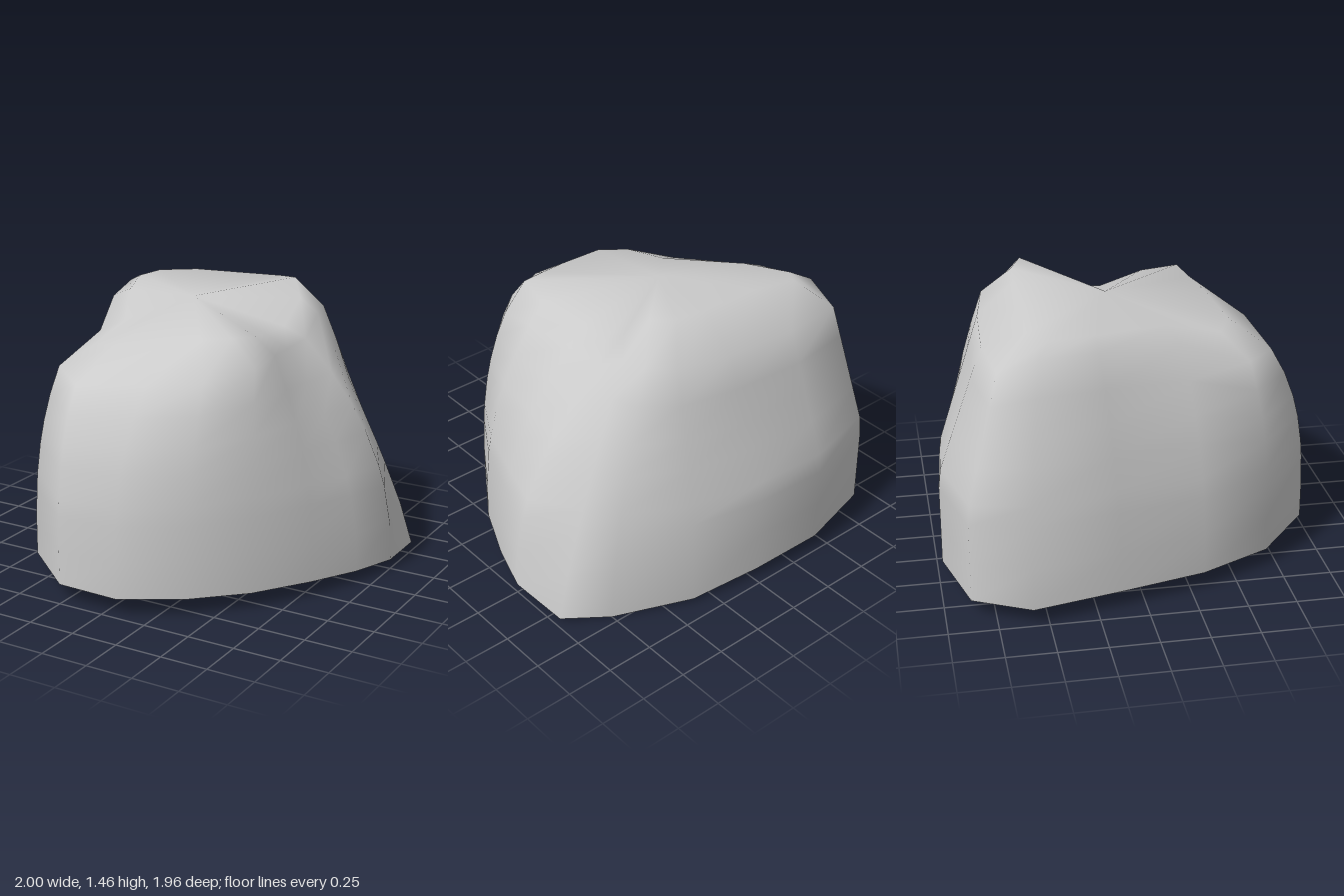
import * as THREE from 'three';

// Each column runs from the ground up: foot, rim of the shoulder, crown.
// Columns go round from the front by way of +x. Points are [x, y, z].
const foot = [
  [-0.27, 0.09, 0.97], [0.07, 0.09, 0.98], [0.38, 0.09, 0.8], [0.61, 0.085, 0.57],
  [0.8, 0.08, 0.28], [0.92, 0.06, 0], [1, 0.05, -0.25], [0.98, 0.03, -0.58],
  [0.75, 0, -0.71], [0.36, 0.02, -0.89], [-0.03, 0.05, -0.95], [-0.42, 0.08, -0.98],
  [-0.84, 0.08, -0.87], [-1, 0.09, -0.58], [-0.9, 0.09, -0.13], [-0.79, 0.09, 0.32],
  [-0.61, 0.09, 0.69],
];
const rim = [
  [-0.28, 1.08, 0.77], [0.1, 1.13, 0.72], [0.35, 1.14, 0.6], [0.53, 1.19, 0.41],
  [0.53, 1.21, 0.2], [0.47, 1.18, -0.05], [0.46, 1.18, -0.28], [0.45, 1.28, -0.44],
  [0.42, 1.29, -0.57], [0.3, 1.28, -0.67], [0, 1.26, -0.72], [-0.4, 1.25, -0.74],
  [-0.74, 1.24, -0.7], [-0.77, 1.31, -0.5], [-0.69, 1.29, -0.2], [-0.48, 1.22, 0.25],
  [-0.5, 1.11, 0.6],
];
const crown = [
  [-0.2, 1.24, 0.55], [0.08, 1.28, 0.5], [0.25, 1.31, 0.45], [0.4, 1.33, 0.41],
  [0.43, 1.3, 0.22], [0.36, 1.25, -0.02], [0.37, 1.25, -0.21], [0.38, 1.37, -0.37],
  [0.3, 1.455, -0.46], [0.18, 1.44, -0.52], [0, 1.43, -0.53], [-0.35, 1.415, -0.53],
  [-0.6, 1.38, -0.54], [-0.67, 1.36, -0.44], [-0.58, 1.34, -0.2], [-0.36, 1.28, 0.2],
  [-0.35, 1.22, 0.48],
];
// How long each side stays steep before leaning in; 1 is a straight slope.
const bulge = [3.2, 3.2, 3, 2.6, 2.4, 2.2, 2.3, 1.2, 1.5, 2, 2.3, 2.3, 2.3, 2.3, 2.2, 2.4, 2.8];
const middle = [-0.1, 1.385, -0.07];
const heights = [0, 0.18, 0.36, 0.45, 0.6, 0.72, 0.86, 1];

// The back wall stands upright, then leans in flat; the other sides curve
function lean(i, t) {
  const isBack = i >= 10 && i <= 12;
  return isBack ? Math.max(0, (t - 0.42) / 0.58) : t ** bulge[i];
}

// Ring of the flank at fraction t of the way from foot to rim
function sideRing(t) {
  return foot.map((f, i) => {
    const k = lean(i, t);
    const r = rim[i];
    return [f[0] + (r[0] - f[0]) * k, f[1] + (r[1] - f[1]) * t, f[2] + (r[2] - f[2]) * k];
  });
}

function makeMesh(name, points, index) {
  const geometry = new THREE.BufferGeometry();
  geometry.setAttribute('position', new THREE.Float32BufferAttribute(points.flat(), 3));
  geometry.setIndex(index);
  geometry.computeVertexNormals();
  const mesh = new THREE.Mesh(geometry, new THREE.MeshStandardMaterial({ color: 0xcccccc }));
  mesh.name = name;
  return mesh;
}

export function createModel() {
  const group = new THREE.Group();
  group.name = 'boulder';
  const n = foot.length;

  // Rock body: rings joined by quads, closed by a fan at the top
  const rings = [...heights.map(sideRing), crown];
  const points = [...rings.flat(), middle];
  const index = [];
  for (let r = 0; r < rings.length - 1; r++) {
    for (let i = 0; i < n; i++) {
      const a = r * n + i, b = r * n + (i + 1) % n;
      index.push(a, b, b + n, a, b + n, a + n);
    }
  }
  const top = (rings.length - 1) * n;
  for (let i = 0; i < n; i++) index.push(top + i, top + (i + 1) % n, points.length - 1);
  group.add(makeMesh('rockBody', points, index));

  // Underside with its own normals, so the bottom edge stays sharp
  const under = [];
  for (let i = 0; i < n; i++) under.push((i + 1) % n, i, n);
  group.add(makeMesh('underside', [...foot, [0, 0.065, 0]], under));

  return group;
}
